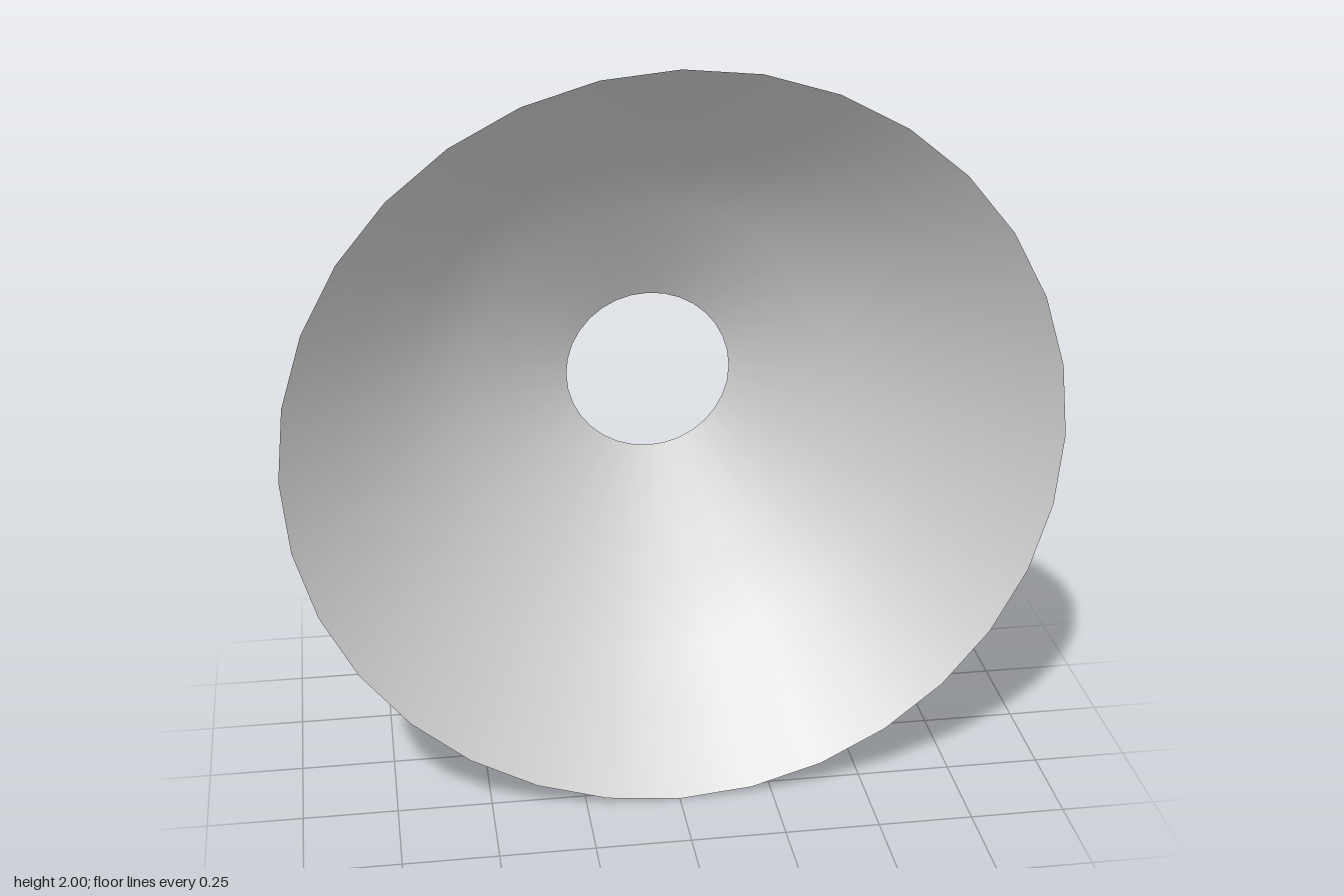
import * as THREE from 'three';

export function createModel() {
  const group = new THREE.Group();
  group.name = 'dish';

  // Profile from the small rear opening to the wide front rim: [radius, depth]
  const profile = [[0.225, -0.3], [0.515, -0.15], [0.7, 0], [0.855, 0.15], [1, 0.3]]
    .map(([r, z]) => new THREE.Vector2(r, z));

  // Thin open shell, revolved and turned so its axis runs along z
  const geometry = new THREE.LatheGeometry(profile, 32);
  geometry.rotateX(Math.PI / 2);
  geometry.translate(0, 1, 0);

  const shell = new THREE.Mesh(
    geometry,
    new THREE.MeshStandardMaterial({ color: 0xcccccc, side: THREE.DoubleSide })
  );
  shell.name = 'shell';
  group.add(shell);
  return group;
}
